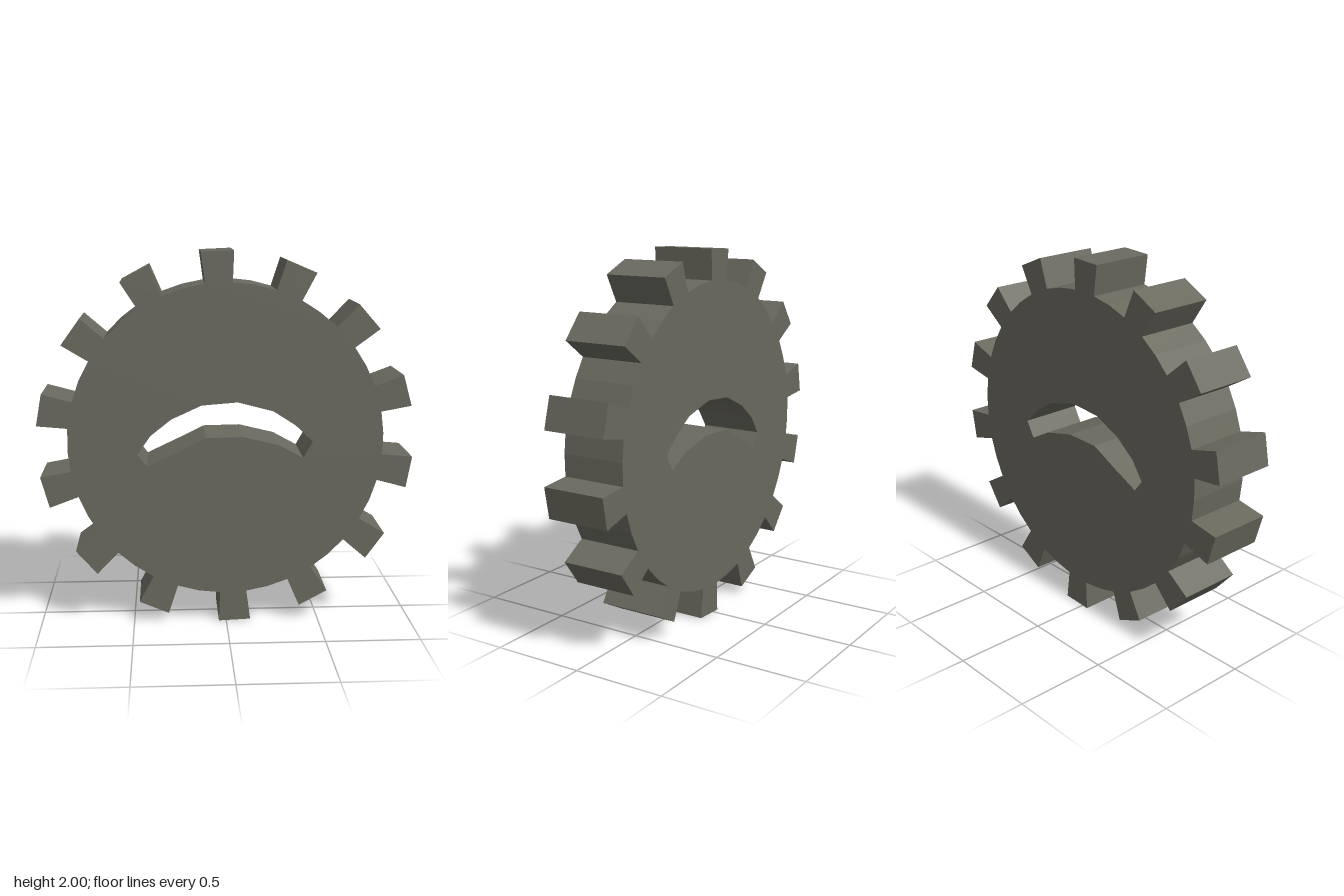
import * as THREE from 'three';

const TEETH = 14, OUTER = 1.0, ROOT = 0.837, DEPTH = 0.35;
const STEP = (Math.PI * 2) / TEETH;
const HALF = THREE.MathUtils.degToRad(4.9);
const START = THREE.MathUtils.degToRad(92.6);

const polar = (r, a) => new THREE.Vector2(r * Math.cos(a), r * Math.sin(a));

// Gear rim: radial-sided teeth with a faceted root between them
function gearOutline() {
  const points = [];
  for (let i = 0; i < TEETH; i++) {
    const a = START + i * STEP;
    points.push(
      polar(ROOT, a - HALF), polar(OUTER, a - HALF),
      polar(OUTER, a + HALF), polar(ROOT, a + HALF),
      polar(ROOT, a + STEP / 2)
    );
  }
  return new THREE.Shape(points);
}

// Curved slot through the middle, relative to the gear centre
function slotOutline() {
  const upper = [[-0.47, -0.065], [-0.4, 0.035], [-0.29, 0.122], [-0.13, 0.195], [0.06, 0.21],
    [0.25, 0.16], [0.37, 0.082], [0.46, -0.005]];
  const lower = [[0.41, -0.093], [0.28, -0.022], [0.09, 0.024], [-0.11, 0.02], [-0.23, -0.04], [-0.42, -0.13]];
  return new THREE.Path([...upper, ...lower].map(([x, y]) => new THREE.Vector2(x, y)));
}

export function createModel() {
  const darkMetal = new THREE.MeshStandardMaterial({ color: 0x6a695e });
  darkMetal.name = 'dark metal';

  const shape = gearOutline();
  shape.holes.push(slotOutline());
  const geometry = new THREE.ExtrudeGeometry(shape, { depth: DEPTH, bevelEnabled: false });
  geometry.translate(0, 1, -DEPTH / 2);

  const gear = new THREE.Mesh(geometry, darkMetal);
  gear.name = 'gearWheel';

  const model = new THREE.Group();
  model.name = 'gear';
  model.add(gear);
  return model;
}
